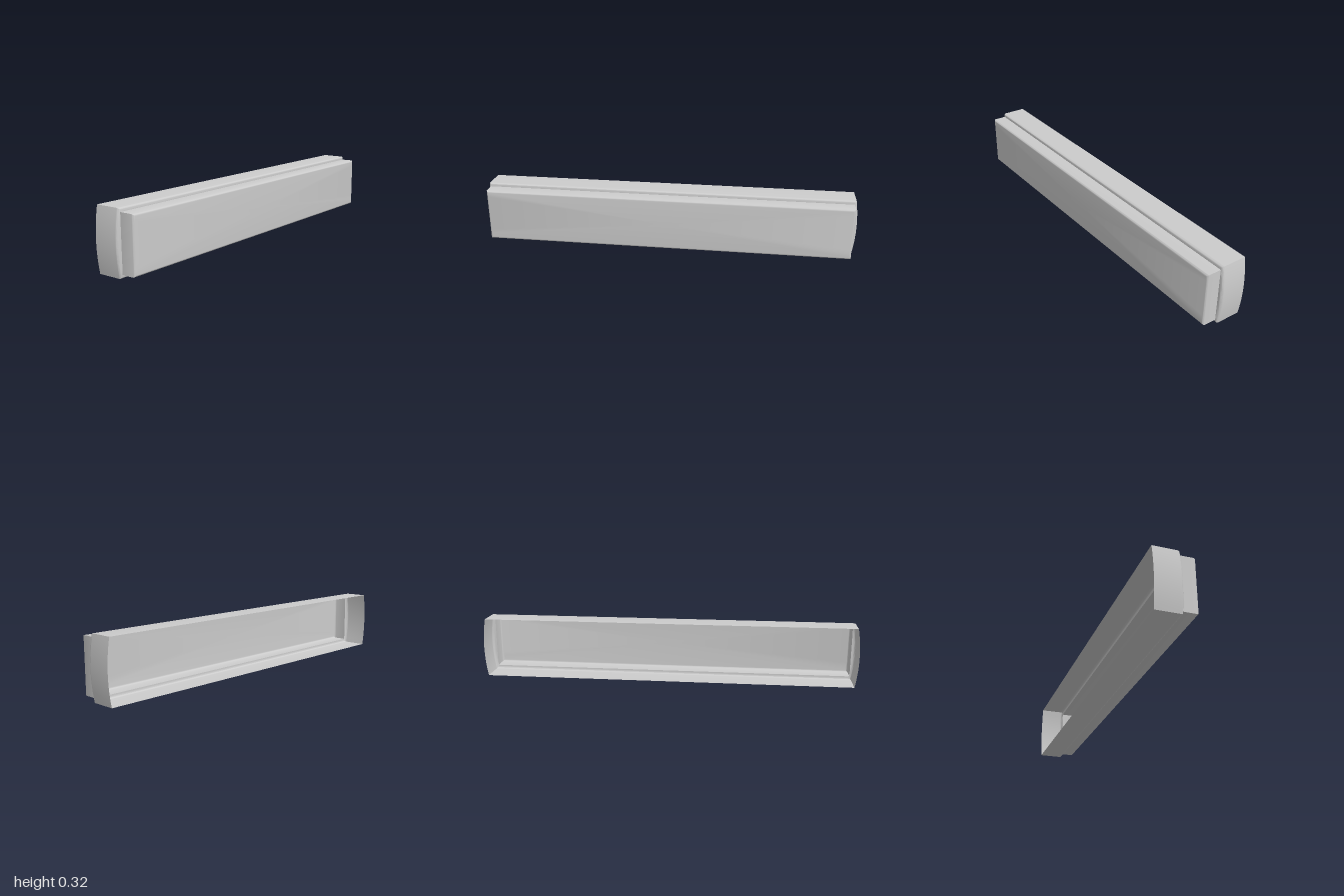
import * as THREE from 'three';
import { toCreasedNormals } from 'three/addons/utils/BufferGeometryUtils.js';

const SIDE_STEPS = 12;
const CENTER_Y = 0.159;

// Rectangular outline at depth z whose two ends bulge outwards by bow
function ring(halfW, halfH, bow, z) {
  const points = [];
  for (const s of [1, -1]) {
    for (let i = 0; i <= SIDE_STEPS; i++) {
      const t = (i / SIDE_STEPS) * 2 - 1;
      points.push(new THREE.Vector3(s * (halfW + bow * (1 - t * t)), CENTER_Y + s * t * halfH, z));
    }
  }
  return points;
}

// Straight wall from zBack, then a rounded edge of radius r ending at zFront
function roundedRings(halfW, halfH, bow, zBack, zFront, r) {
  const rings = [ring(halfW, halfH, bow, zBack)];
  for (let i = 0; i <= 5; i++) {
    const a = (i / 5) * Math.PI / 2;
    const inset = r * (1 - Math.cos(a));
    rings.push(ring(halfW - inset, halfH - inset, bow, zFront - r + r * Math.sin(a)));
  }
  return rings;
}

// Skin joining successive rings, optionally closed at the front
function loft(rings, capped) {
  const triangles = [];
  const n = rings[0].length;
  for (let k = 0; k < rings.length - 1; k++) {
    const a = rings[k], b = rings[k + 1];
    for (let i = 0; i < n; i++) {
      const j = (i + 1) % n;
      triangles.push(a[i], a[j], b[j], a[i], b[j], b[i]);
    }
  }
  if (capped) {
    const last = rings[rings.length - 1];
    const center = new THREE.Vector3(0, CENTER_Y, last[0].z);
    for (let i = 0; i < n; i++) triangles.push(center, last[i], last[(i + 1) % n]);
  }
  const geometry = new THREE.BufferGeometry().setFromPoints(triangles);
  return toCreasedNormals(geometry, Math.PI / 5);
}

export function createModel() {
  const group = new THREE.Group();
  group.name = 'steppedCover';
  const material = new THREE.MeshStandardMaterial({ color: 0xcccccc, side: THREE.DoubleSide });

  // Wide rim, open at the back, with bowed ends and a narrow front ledge
  const rimRings = roundedRings(0.985, 0.158, 0.015, -0.105, 0.03, 0.013);
  rimRings.push(ring(0.977, 0.14, 0, 0.03));
  const rim = new THREE.Mesh(loft(rimRings, false), material);
  rim.name = 'rim';

  // Narrower raised panel, hollow behind
  const panel = new THREE.Mesh(loft(roundedRings(0.977, 0.14, 0, 0.03, 0.105, 0.012), true), material);
  panel.name = 'frontPanel';

  group.add(rim, panel);
  return group;
}
